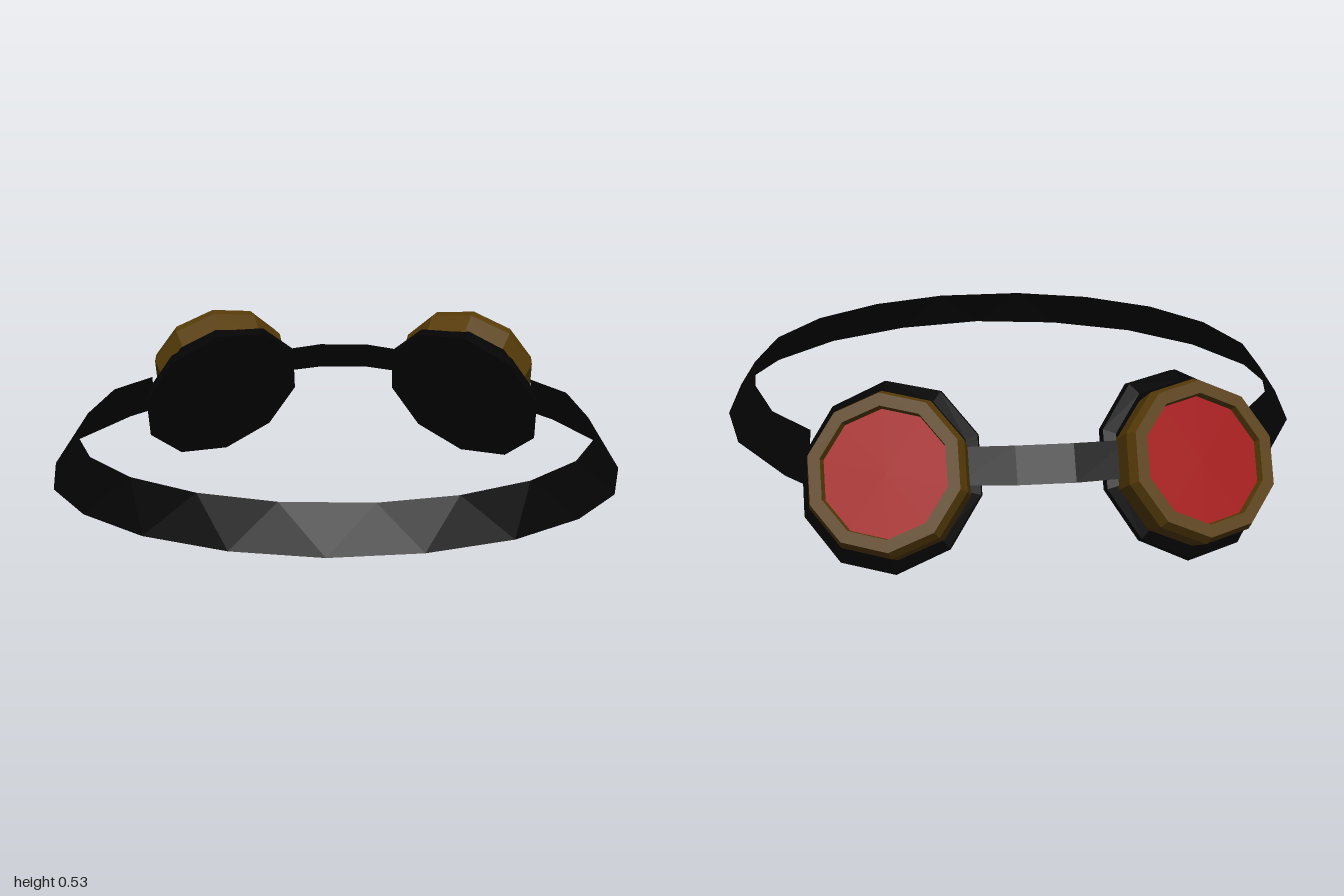
import * as THREE from 'three';

const black = new THREE.MeshStandardMaterial({ color: 0x040404, side: THREE.DoubleSide });
black.name = 'black rubber';
const brass = new THREE.MeshStandardMaterial({ color: 0x573c08 });
brass.name = 'aged brass';
const red = new THREE.MeshStandardMaterial({ color: 0xa00405 });
red.name = 'red glass';

const SIDES = 10;

function part(name, geometry, material) {
  const mesh = new THREE.Mesh(geometry, material);
  mesh.name = name;
  return mesh;
}

// Faceted lathe whose axis points along +z, rolled slightly about it
function turned(profile, roll) {
  const points = profile.map(([r, d]) => new THREE.Vector2(r, d));
  const g = new THREE.LatheGeometry(points, SIDES).toNonIndexed();
  return g.rotateX(Math.PI / 2).rotateZ(roll);
}

function flat(g) {
  g.computeVertexNormals();
  return g;
}

// Zigzag band of triangles between a lower and an upper edge
function band(lower, upper) {
  const zigzag = [];
  lower.forEach((p, i) => {
    zigzag.push(p);
    if (upper[i]) zigzag.push(upper[i]);
  });
  const pos = [];
  for (let i = 0; i + 2 < zigzag.length; i++) {
    const [a, b, c] = zigzag.slice(i, i + 3);
    pos.push(...(i % 2 ? [a, b, c] : [a, c, b]).flat());
  }
  const g = new THREE.BufferGeometry();
  g.setAttribute('position', new THREE.Float32BufferAttribute(pos, 3));
  return flat(g);
}

// Half an edge from the middle outwards, completed across x = 0
function mirrored(half) {
  const left = half.filter((p) => p[0] > 0);
  const right = left.map(([x, y, z]) => [-x, y, z]).reverse();
  return [...right, ...half.filter((p) => p[0] === 0), ...left];
}

function createStrap() {
  const lower = [[0, 1], [0.28, 0.95], [0.54, 0.82], [0.74, 0.62], [0.87, 0.37],
    [0.91, 0.08], [0.88, -0.2], [0.74, -0.51], [0.67, -0.61]];
  const upper = [[0.14, 0.9], [0.38, 0.82], [0.59, 0.67], [0.74, 0.46], [0.82, 0.2],
    [0.82, -0.05], [0.77, -0.33], [0.66, -0.51]];
  return part('strap', band(
    mirrored(lower.map(([x, z]) => [x, 0.217, z])),
    mirrored(upper.map(([x, z]) => [x, z < -0.2 ? 0.36 : 0.35, z]))
  ), black);
}

function createBridge() {
  return part('bridge', band(
    mirrored([[0.085, 0.307, -0.9], [0.26, 0.295, -0.85]]),
    mirrored([[0.085, 0.405, -0.838], [0.25, 0.39, -0.79]])
  ), black);
}

// One eyepiece: local +z looks out through the glass
function createEyepiece(side) {
  const eye = new THREE.Group();
  eye.name = side > 0 ? 'leftEyepiece' : 'rightEyepiece';
  const roll = side * 0.19;

  // Cup flares to a rim that leans and turns towards the temple
  const depth = 0.195;
  const cup = turned([[0, -depth], [0.292, -depth], [0.288, -0.155], [0.25, -0.125],
    [0.226, -0.08], [0, -0.08]], roll);
  const p = cup.attributes.position;
  for (let i = 0; i < p.count; i++) {
    const x = p.getX(i);
    const k = -p.getZ(i) / depth;
    p.setXYZ(i, x - side * 0.037 * k, p.getY(i) + 0.02 * k, p.getZ(i) + side * 0.14 * x * k);
  }
  eye.add(part('cup', flat(cup), black));

  // Bevelled metal ring around a recessed glass
  eye.add(part('lensRing', flat(turned([[0.19, -0.095], [0.236, -0.095], [0.245, -0.01],
    [0.232, 0.025], [0.194, 0.025], [0.188, -0.01]], roll)), brass));
  eye.add(part('lens', flat(turned([[0.194, 0], [0, 0]], roll)), red));

  eye.position.set(side * 0.458, 0.34, -0.848);
  eye.lookAt(side * (0.458 + 0.3), 0.84, -0.848 - 0.81);
  return eye;
}

export function createModel() {
  const model = new THREE.Group();
  model.name = 'goggles';
  model.add(createStrap(), createBridge(), createEyepiece(1), createEyepiece(-1));
  return model;
}
